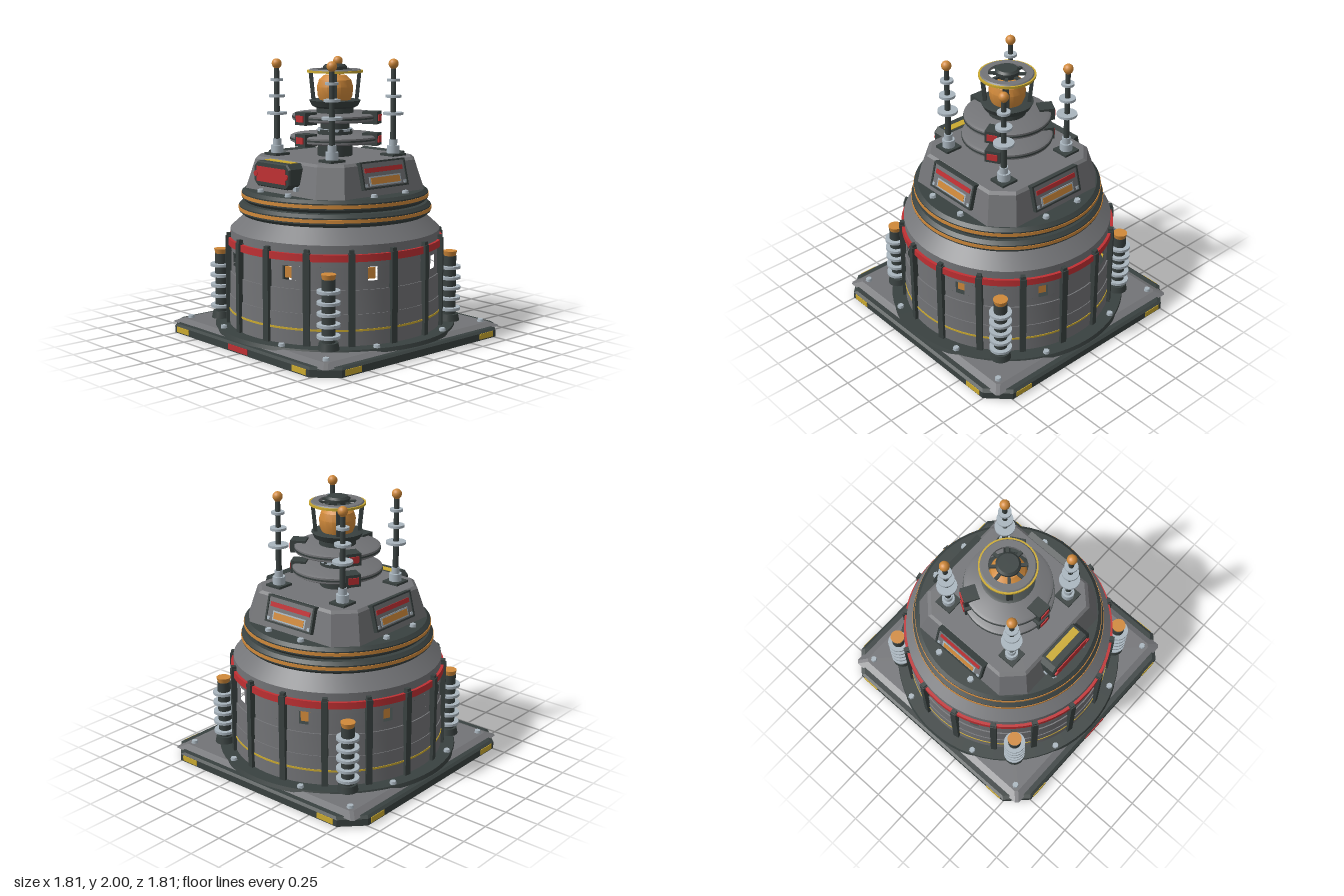
import * as THREE from 'three';
import { toCreasedNormals } from 'three/addons/utils/BufferGeometryUtils.js';

const mat = (name, color) => {
  const m = new THREE.MeshStandardMaterial({ color });
  m.name = name;
  return m;
};

export function createModel() {
  const grey = mat('grey armour', 0x737477), dark = mat('dark metal', 0x394140);
  const silver = mat('silver', 0xa9b5be), orange = mat('orange glow', 0xd0893a);
  const red = mat('red paint', 0xc03033), yellow = mat('yellow paint', 0xcbaa30);
  const root = new THREE.Group();
  root.name = 'reactorTower';

  const add = (name, geo, m, x = 0, y = 0, z = 0, parent = root) => {
    const mesh = new THREE.Mesh(geo, m);
    mesh.name = name;
    mesh.position.set(x, y, z);
    parent.add(mesh);
    return mesh;
  };
  const group = (name, parent = root, turn = 0) => {
    const g = new THREE.Group();
    g.name = name;
    g.rotation.y = turn;
    parent.add(g);
    return g;
  };
  const box = (w, h, d) => new THREE.BoxGeometry(w, h, d);
  // upright cylinder or cone between two heights
  const cyl = (name, m, rBottom, rTop, y0, y1, seg = 24, x = 0, z = 0, parent = root) =>
    add(name, new THREE.CylinderGeometry(rTop, rBottom, y1 - y0, seg), m, x, (y0 + y1) / 2, z, parent);
  // turned profile, bottom to top, with sharp steps
  const lathe = (name, m, pts, seg = 64, parent = root) =>
    add(name, toCreasedNormals(new THREE.LatheGeometry(pts.map(p => new THREE.Vector2(...p)), seg), 0.5), m, 0, 0, 0, parent);
  const band = (name, m, rIn, rOut, y0, y1, seg = 64) =>
    lathe(name, m, [[rIn, y0], [rOut, y0], [rOut, y1], [rIn, y1]], seg);
  // square block with cut corners, tapering upward: half width and corner cut at each end
  const cutBlock = (h0, c0, h1, c1, y0, y1) => {
    const loop = (h, c, y) => [[h, h - c], [h - c, h], [c - h, h], [-h, h - c], [-h, c - h], [c - h, -h], [h - c, -h], [h, c - h]]
      .map(([x, z]) => [x, y, z]);
    const a = loop(h0, c0, y0), b = loop(h1, c1, y1), v = [];
    for (let i = 0; i < 8; i++) {
      const j = (i + 1) % 8;
      v.push(a[i], b[i], b[j], a[i], b[j], a[j], [0, y1, 0], b[j], b[i], [0, y0, 0], a[i], a[j]);
    }
    const g = new THREE.BufferGeometry();
    g.setAttribute('position', new THREE.Float32BufferAttribute(v.flat(), 3));
    g.computeVertexNormals();
    return g;
  };
  const bolt = (x, y, z, parent = root) => cyl('bolt', silver, 0.026, 0.022, y, y + 0.022, 6, x, z, parent);

  // base plate, bevelled slab and round footing
  add('basePlate', cutBlock(0.9, 0.15, 0.9, 0.15, 0.005, 0.055), dark);
  add('basePlateBevel', cutBlock(0.9, 0.15, 0.88, 0.15, 0.055, 0.068), dark);
  add('baseSlab', cutBlock(0.855, 0.02, 0.795, 0.02, 0.062, 0.09), grey);
  cyl('footing', dark, 0.88, 0.87, 0.075, 0.102, 64);
  for (let i = 0; i < 4; i++) {
    const side = group('baseMarkings', root, i * Math.PI / 2);
    for (const s of [-1, 1]) add('yellowMark', box(0.14, 0.04, 0.008), yellow, s * 0.65, 0.034, 0.901, side);
    if (i === 0) add('redMark', box(0.21, 0.04, 0.008), red, 0, 0.034, 0.901, side);
    bolt(0.75, 0.088, 0.755, side);
  }
  for (let i = 0; i < 8; i++) {
    const a = (i + 0.5) * Math.PI / 4;
    bolt(0.84 * Math.sin(a), 0.1, 0.84 * Math.cos(a));
  }
  // underside rings and feet
  band('undersideRing', orange, 0.26, 0.32, 0, 0.006, 48);
  cyl('undersideHub', grey, 0.115, 0.115, 0, 0.006, 24);
  for (const x of [-0.545, 0.545]) for (const z of [-0.545, 0.545]) cyl('undersideFoot', dark, 0.03, 0.03, 0, 0.006, 12, x, z);

  // drum wall in tiers, open at the window band
  const R = 0.757, gap = 0.046;
  lathe('lowerWall', grey, [[0.772, 0.1], [0.772, 0.32], [0.766, 0.32], [0.766, 0.485], [R, 0.485], [R, 0.545]]);
  lathe('shoulder', grey, [[R, 0.64], [R, 0.79], [0.635, 0.9], [0.5, 0.9]]);
  for (let i = 0; i < 8; i++) {
    const a = (i + 0.5) * Math.PI / 4;
    add('windowWall', new THREE.CylinderGeometry(R, R, 0.095, 8, 1, true, a + gap, Math.PI / 4 - 2 * gap), grey, 0, 0.5925, 0);
    const w = group('window', root, a);
    add('windowPane', box(0.07, 0.077, 0.01), orange, 0, 0.588, 0.715, w);
  }
  band('yellowStripe', yellow, 0.76, 0.776, 0.203, 0.217);
  band('redBand', red, 0.74, 0.778, 0.68, 0.73);
  for (let i = 0; i < 16; i++) {
    const g = group('rib', root, (i + 0.5) * Math.PI / 8);
    add('ribBar', box(0.045, 0.64, 0.05), dark, 0, 0.42, 0.77, g);
    add('ribCap', box(0.034, 0.025, 0.04), dark, 0, 0.75, 0.768, g);
  }

  // corner coils
  for (let i = 0; i < 4; i++) {
    const g = group('coil', root, (i + 0.5) * Math.PI / 2), z = 0.835;
    cyl('coilFoot', dark, 0.075, 0.065, 0.1, 0.15, 20, 0, z, g);
    cyl('coilCore', dark, 0.047, 0.047, 0.1, 0.58, 20, 0, z, g);
    for (const y of [0.19, 0.268, 0.345, 0.42, 0.497]) {
      cyl('coilDisc', silver, 0.08, 0.08, y - 0.01, y + 0.01, 24, 0, z, g);
    }
    cyl('coilCap', orange, 0.042, 0.052, 0.575, 0.615, 20, 0, z, g);
    add('coilBracket', box(0.04, 0.03, 0.1), dark, 0, 0.56, 0.78, g);
  }

  // two stacked collars with glowing seams
  const collar = (y, r) => {
    lathe('collar', dark, [[0, y], [r - 0.025, y], [r, y + 0.022], [r, y + 0.066], [r - 0.025, y + 0.088], [0, y + 0.088]]);
    band('collarSeam', orange, r - 0.02, r + 0.004, y + 0.033, y + 0.057);
  };
  collar(0.896, 0.693);
  collar(0.991, 0.672);
  cyl('collarCore', dark, 0.5, 0.5, 0.97, 1.0, 48);

  // eight-sided housing
  add('housing', cutBlock(0.52, 0.14, 0.465, 0.13, 1.078, 1.29), grey);
  add('housingTop', cutBlock(0.465, 0.13, 0.445, 0.125, 1.29, 1.308), grey);
  for (let i = 0; i < 4; i++) {
    const side = group('housingSide', root, i * Math.PI / 2);
    for (const s of [-1, 1]) bolt(s * 0.15, 1.078, 0.567, side);
    if (i === 0) continue;
    // sloping vent panel
    const p = group('ventPanel', side);
    p.position.copy(new THREE.Vector3(0, 1.22, 0.493).applyAxisAngle(new THREE.Vector3(0, 1, 0), 0));
    p.rotation.x = -0.25;
    add('ventPlate', box(0.42, 0.18, 0.03), grey, 0, 0, 0, p);
    for (const s of [-1, 1]) {
      add('ventFrameSide', box(0.014, 0.19, 0.044), dark, s * 0.207, 0, 0, p);
      add('ventFrameEdge', box(0.428, 0.012, 0.044), dark, 0, s * 0.09, 0, p);
      add('ventBolt', box(0.022, 0.022, 0.02), silver, s * 0.185, -0.068, 0.012, p);
    }
    add('ventStripe', box(0.36, 0.032, 0.008), red, 0, 0.034, 0.018, p);
    add('ventBorder', box(0.3, 0.066, 0.006), silver, 0, -0.042, 0.017, p);
    add('ventGlow', box(0.275, 0.046, 0.008), orange, 0, -0.042, 0.019, p);
  }

  // front control box
  const outline = new THREE.Shape([[-0.185, -0.05], [-0.155, -0.08], [0.155, -0.08], [0.185, -0.05], [0.185, 0.05], [0.155, 0.08], [-0.155, 0.08], [-0.185, 0.05]]
    .map(p => new THREE.Vector2(...p)));
  const control = group('controlBox');
  control.position.set(0, 1.215, 0);
  add('controlBody', new THREE.ExtrudeGeometry(outline, { depth: 0.12, bevelThickness: 0.012, bevelSize: 0.008, bevelSegments: 1 }), dark, 0, 0, 0.46, control);
  add('controlFace', box(0.31, 0.105, 0.009), red, 0, 0, 0.595, control);
  add('controlTop', box(0.29, 0.008, 0.055), yellow, 0, 0.089, 0.505, control);
  for (const s of [-1, 1]) {
    const knob = add('controlKnob', new THREE.CylinderGeometry(0.02, 0.02, 0.014, 8), red, s * 0.162, 0, 0.597, control);
    knob.rotation.x = Math.PI / 2;
    add('controlLug', box(0.03, 0.03, 0.03), silver, s * 0.18, -0.085, 0.52, control);
  }

  // neck with two flanges and clamps
  cyl('neckLower', dark, 0.125, 0.125, 1.3, 1.5, 32);
  cyl('neckUpper', dark, 0.105, 0.105, 1.48, 1.6, 32);
  cyl('neckRing', silver, 0.125, 0.125, 1.485, 1.503, 32);
  cyl('neckCollar', dark, 0.132, 0.132, 1.6, 1.67, 32);
  for (const [y, r] of [[1.435, 0.32], [1.588, 0.305]]) {
    lathe('flange', grey, [[0, y - 0.028], [r - 0.02, y - 0.028], [r, y - 0.018], [r, y + 0.018], [r - 0.02, y + 0.028], [0, y + 0.028]], 48);
    band('flangeGroove', dark, r - 0.01, r + 0.003, y - 0.006, y + 0.006, 48);
    for (let i = 0; i < 3; i++) {
      const g = group('clamp', root, i * Math.PI * 2 / 3);
      add('clampBlock', box(0.11, 0.088, 0.11), dark, 0, y, 0.275, g);
      add('clampLight', box(0.074, 0.046, 0.009), red, 0, y, 0.333, g);
    }
  }

  // lamp: cup, glowing dome, struts and crown
  lathe('lampCup', dark, [[0, 1.645], [0.12, 1.645], [0.165, 1.665], [0.185, 1.705], [0.165, 1.71], [0, 1.7]], 32);
  lathe('lampDome', orange, [[0.105, 1.69], [0.125, 1.74], [0.13, 1.8], [0.115, 1.85], [0.08, 1.882], [0, 1.89]], 16);
  for (let i = 0; i < 4; i++) {
    const g = group('lampStrut', root, (i + 0.5) * Math.PI / 2);
    const strut = add('strutBar', box(0.045, 0.215, 0.026), dark, 0, 1.802, 0.164, g);
    strut.rotation.x = 0.1;
  }
  band('crownRim', yellow, 0.14, 0.2, 1.902, 1.918, 40);
  lathe('crownRing', grey, [[0.132, 1.914], [0.192, 1.914], [0.18, 1.926], [0.132, 1.926], [0.132, 1.904]], 40);
  for (let i = 0; i < 8; i++) {
    const g = group('crownSpoke', root, i * Math.PI / 4);
    add('spokeBar', box(0.022, 0.016, 0.08), dark, 0, 1.917, 0.1, g);
  }
  lathe('crownCap', dark, [[0, 1.9], [0.075, 1.9], [0.085, 1.925], [0.085, 1.945], [0.07, 1.96], [0, 1.96]], 24);

  // four aerials
  for (const x of [-0.295, 0.295]) for (const z of [-0.295, 0.295]) {
    const g = group('aerial');
    g.position.set(x, 0, z);
    add('aerialFoot', box(0.13, 0.02, 0.13), dark, 0, 1.315, 0, g);
    cyl('aerialSocket', silver, 0.045, 0.045, 1.325, 1.38, 16, 0, 0, g);
    cyl('aerialSleeve', silver, 0.03, 0.03, 1.38, 1.425, 16, 0, 0, g);
    cyl('aerialRod', dark, 0.022, 0.018, 1.4, 1.95, 12, 0, 0, g);
    for (const [y, r] of [[1.61, 0.072], [1.733, 0.058], [1.848, 0.046]]) {
      cyl('aerialDisc', silver, r, r, y - 0.009, y + 0.009, 24, 0, 0, g);
    }
    cyl('aerialCollar', orange, 0.018, 0.028, 1.93, 1.955, 12, 0, 0, g);
    add('aerialTip', new THREE.SphereGeometry(0.036, 16, 12), orange, 0, 1.964, 0, g);
  }
  return root;
}
